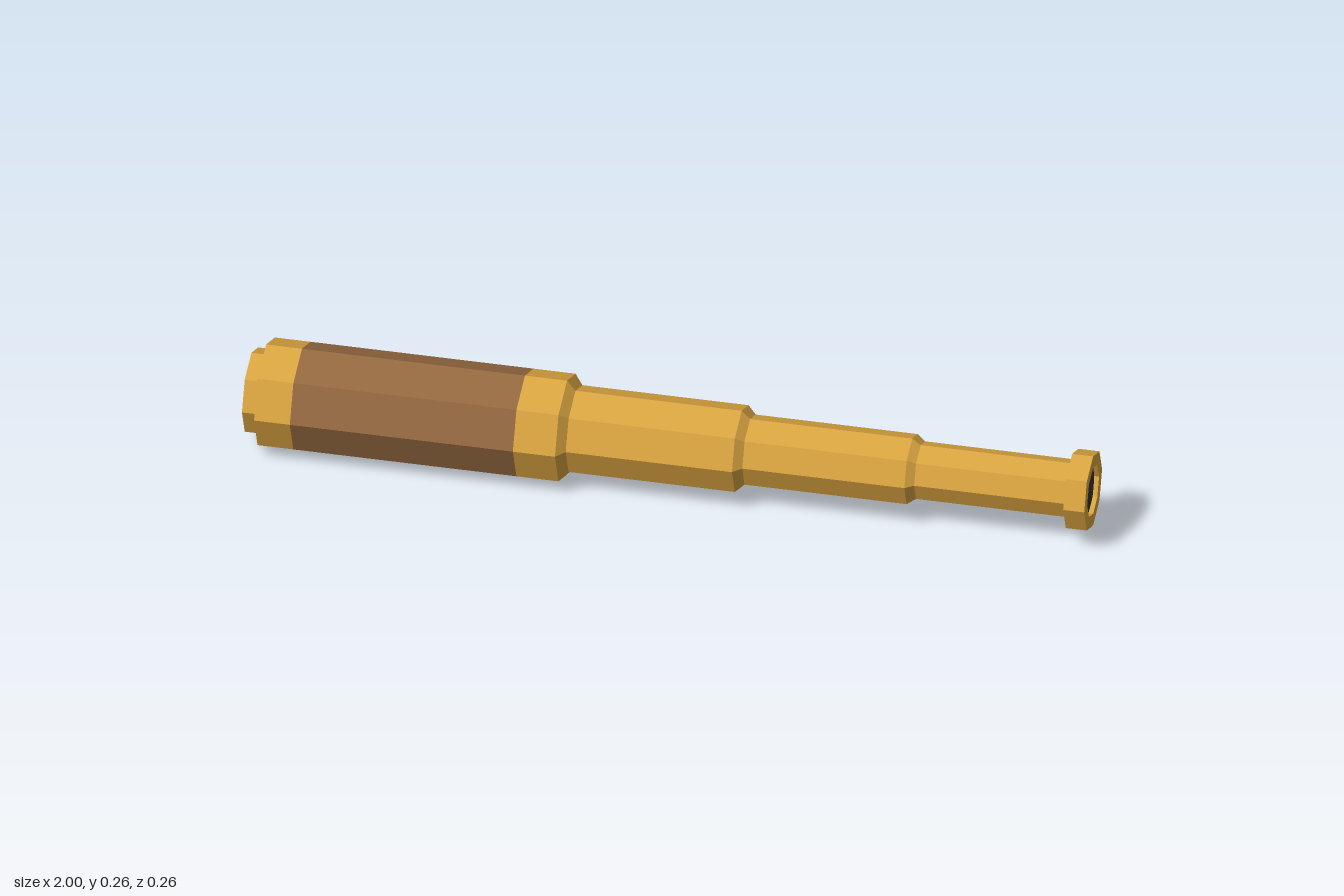
import * as THREE from 'three';

const CENTRE_Y = 0.129;

// Octagonal part turned about the x axis from [x, radius] pairs;
// pairs run toward +x on outer walls and toward -x inside bores
function turned(name, material, profile, sides = 8) {
  const points = profile.map(([x, r]) => new THREE.Vector2(r, x));
  const geometry = new THREE.LatheGeometry(points, sides).toNonIndexed();
  geometry.rotateZ(-Math.PI / 2);
  geometry.computeVertexNormals();
  const mesh = new THREE.Mesh(geometry, material);
  mesh.name = name;
  mesh.position.y = CENTRE_Y;
  return mesh;
}

export function createModel() {
  const brass = new THREE.MeshStandardMaterial({ color: 0xd9a441 });
  const leather = new THREE.MeshStandardMaterial({ color: 0x946840 });
  const glass = new THREE.MeshStandardMaterial({ color: 0x333333 });
  brass.name = 'brass';
  leather.name = 'leather';
  glass.name = 'dark glass';

  const model = new THREE.Group();
  model.name = 'spyglass';
  model.add(
    // Wide end: recessed rim and main barrel collar
    turned('frontRim', brass, [[-0.96, 0.075], [-1, 0.075], [-1, 0.101], [-0.965, 0.101]]),
    turned('frontCollar', brass, [[-0.965, 0.101], [-0.965, 0.129], [-0.88, 0.129]]),
    turned('leatherGrip', leather, [[-0.88, 0.129], [-0.35, 0.129]]),
    turned('rearCollar', brass, [[-0.35, 0.129], [-0.25, 0.129], [-0.23, 0.104]]),
    // Telescoping draw tubes, each ending in a small bevel
    turned('largeDrawTube', brass, [[-0.23, 0.104], [0.165, 0.104], [0.185, 0.084]]),
    turned('middleDrawTube', brass, [[0.185, 0.084], [0.57, 0.084], [0.59, 0.069]]),
    turned('smallDrawTube', brass, [[0.59, 0.069], [0.95, 0.069]]),
    // Eyepiece flange with a shallow bore
    turned('eyepiece', brass, [
      [0.95, 0.069], [0.95, 0.095], [1, 0.095], [1, 0.063], [0.988, 0.063], [0.988, 0.055],
    ]),
    // Lenses
    turned('frontLens', glass, [[-0.96, 0], [-0.96, 0.075]]),
    turned('eyepieceLens', glass, [[0.989, 0.061], [0.989, 0]], 16),
  );
  return model;
}
